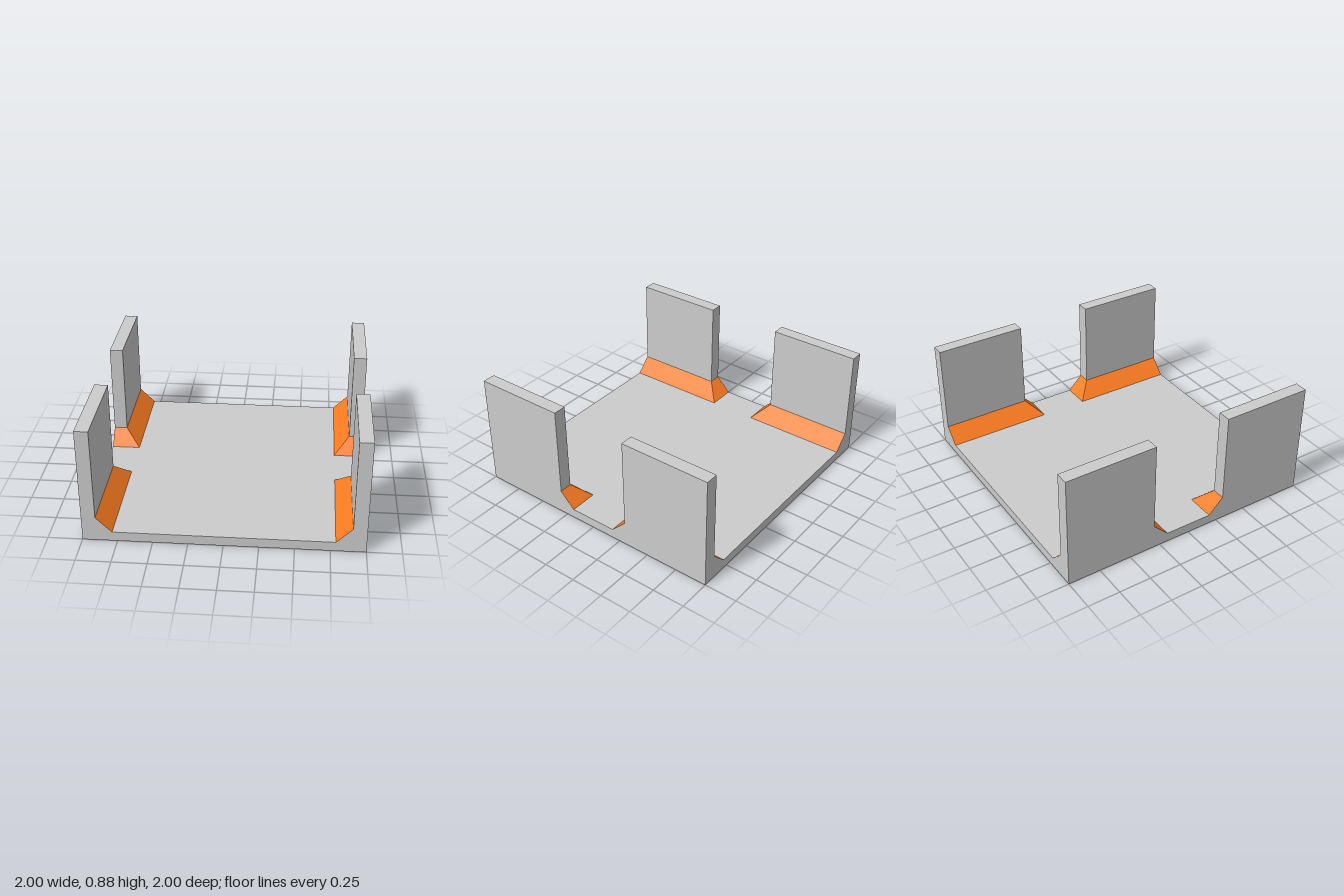
import * as THREE from 'three';

const FLOOR = 0.072;    // floor thickness
const TOP = 0.875;      // wall height
const INNER = 0.9;      // inner face of the walls
const END = 0.3;        // wall end beside the side opening
const BEVEL = 0.115;    // 45 degree bevel at the wall foot

// Convex flat polygons, fanned into triangles and mirrored to a corner
function facets(polygons, sx, sz) {
  const points = [];
  for (const polygon of polygons) {
    for (let i = 1; i < polygon.length - 1; i++) {
      const tri = [polygon[0], polygon[i], polygon[i + 1]];
      if (sx * sz < 0) tri.reverse();
      for (const [x, y, z] of tri) points.push(x * sx, y, z * sz);
    }
  }
  const geometry = new THREE.BufferGeometry();
  geometry.setAttribute('position', new THREE.Float32BufferAttribute(points, 3));
  geometry.computeVertexNormals();
  return geometry;
}

export function createModel() {
  const grey = new THREE.MeshStandardMaterial({ color: 0xcccccc, flatShading: true });
  const orange = new THREE.MeshStandardMaterial({ color: 0xff7d20, flatShading: true });
  const model = new THREE.Group();
  model.name = 'cornerWallTray';

  const add = (parent, name, geometry, material) => {
    const mesh = new THREE.Mesh(geometry, material);
    mesh.name = name;
    parent.add(mesh);
    return mesh;
  };

  // Square floor plate
  add(model, 'floor', new THREE.BoxGeometry(2, FLOOR, 2), grey).position.y = FLOOR / 2;

  // Bevel corners: upper edge on the wall, lower edge on the floor
  const high = FLOOR + BEVEL, footX = INNER - BEVEL, footZ = END - BEVEL;
  const innerBevel = [[INNER, high, 1], [INNER, high, END], [footX, FLOOR, footZ], [footX, FLOOR, 1]];
  const endBevel = [[INNER, high, END], [1, high, END], [1, FLOOR, footZ], [footX, FLOOR, footZ]];
  // Triangles closing the bevel flush with the outer faces
  const edgeCap = [[INNER, high, 1], [footX, FLOOR, 1], [INNER, FLOOR, 1]];
  const sideCap = [[1, high, END], [1, FLOOR, END], [1, FLOOR, footZ]];

  // One wall with a bevelled foot in each corner
  for (const sx of [1, -1]) {
    for (const sz of [1, -1]) {
      const corner = new THREE.Group();
      corner.name = (sz > 0 ? 'front' : 'back') + (sx > 0 ? 'Left' : 'Right') + 'Corner';
      const wall = add(corner, 'wall', new THREE.BoxGeometry(1 - INNER, TOP - FLOOR, 1 - END), grey);
      wall.position.set(sx * (1 + INNER) / 2, (TOP + FLOOR) / 2, sz * (1 + END) / 2);
      add(corner, 'footBevel', facets([innerBevel, endBevel], sx, sz), orange);
      add(corner, 'bevelCaps', facets([edgeCap, sideCap], sx, sz), grey);
      model.add(corner);
    }
  }
  return model;
}
